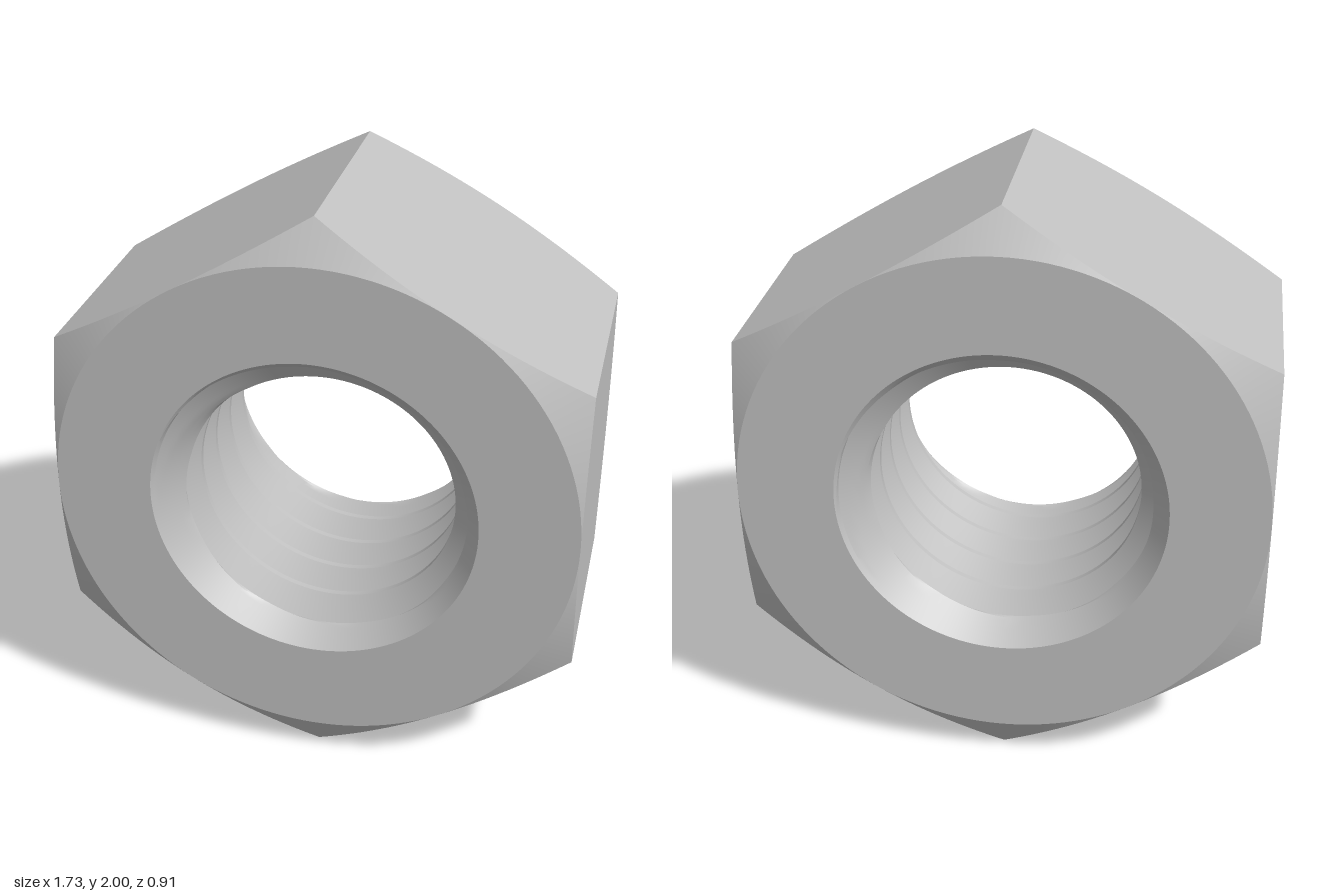
import * as THREE from 'three';
import { toCreasedNormals } from 'three/addons/utils/BufferGeometryUtils.js';

const SEGMENTS = 144;      // columns around the axis, a multiple of 12
const HALF = 0.455;        // half thickness
const FLAT = 0.866;        // centre to flat
const MOUTH = 0.545;       // countersink radius at the faces
const MINOR = 0.445, MAJOR = 0.535, PITCH = 0.162;

// Joins rows of points; at(row, angle) returns [radius, z].
function loft(rows, at) {
  const point = (j, i) => {
    const t = (i / SEGMENTS) * Math.PI * 2;
    const [r, z] = at(rows[j], t);
    return new THREE.Vector3(r * Math.cos(t), r * Math.sin(t), z);
  };
  const positions = [];
  const triangle = new THREE.Triangle();
  const add = (a, b, c) => {
    if (triangle.set(a, b, c).getArea() < 1e-9) return;
    for (const p of [a, b, c]) positions.push(p.x, p.y, p.z);
  };
  for (let j = 0; j < rows.length - 1; j++) {
    for (let i = 0; i < SEGMENTS; i++) {
      const a = point(j, i), b = point(j, i + 1);
      const c = point(j + 1, i), d = point(j + 1, i + 1);
      add(a, c, b);
      add(b, c, d);
    }
  }
  const geometry = new THREE.BufferGeometry();
  geometry.setAttribute('position', new THREE.Float32BufferAttribute(positions, 3));
  return toCreasedNormals(geometry, 0.4);
}

// Hexagon radius at an angle, with corners at the top and bottom
function hexRadius(t) {
  const sector = Math.PI / 3;
  return FLAT / Math.cos(t - Math.round(t / sector) * sector);
}

// Hexagonal body: flat faces, conical chamfers cutting the corners, six flats
function bodyGeometry() {
  const rows = [['mouth', 1], ['circle', 1], ['hex', 1], ['hex', -1], ['circle', -1], ['mouth', -1]];
  return loft(rows, ([kind, side], t) => {
    if (kind === 'mouth') return [MOUTH, side * HALF];
    if (kind === 'circle') return [FLAT, side * HALF];
    const r = hexRadius(t);
    return [r, side * (HALF - (r - FLAT) * Math.tan(Math.PI / 6))];
  });
}

// Right-handed helical thread, cut back by a countersink at each end
function threadGeometry() {
  const crest = 0.02, root = 0.02, steps = 8;
  const flank = (PITCH - crest - root) / 2;
  const rows = [];
  for (let n = -5; n <= 2; n++) {
    const start = 0.129 + n * PITCH + crest / 2;
    for (let k = 0; k <= steps; k++) {
      const f = k / steps;
      rows.push({ z: start + f * flank, r: MINOR + f * (MAJOR - MINOR) });
    }
    for (let k = 0; k <= steps; k++) {
      const f = k / steps;
      rows.push({ z: start + flank + root + f * flank, r: MAJOR - f * (MAJOR - MINOR) });
    }
  }
  return loft(rows, (row, t) => {
    const z = THREE.MathUtils.clamp(row.z + (t / (Math.PI * 2)) * PITCH, -HALF, HALF);
    const countersink = MOUTH - (HALF - Math.abs(z));
    return [Math.max(row.r, countersink), z];
  });
}

export function createModel() {
  const steel = new THREE.MeshStandardMaterial({ color: 0xc0c0c0 });
  steel.name = 'steel';

  const model = new THREE.Group();
  model.name = 'hexNut';
  const parts = { hexBody: bodyGeometry(), threadedBore: threadGeometry() };
  for (const [name, geometry] of Object.entries(parts)) {
    const mesh = new THREE.Mesh(geometry, steel);
    mesh.name = name;
    mesh.position.y = 1;
    model.add(mesh);
  }
  return model;
}
